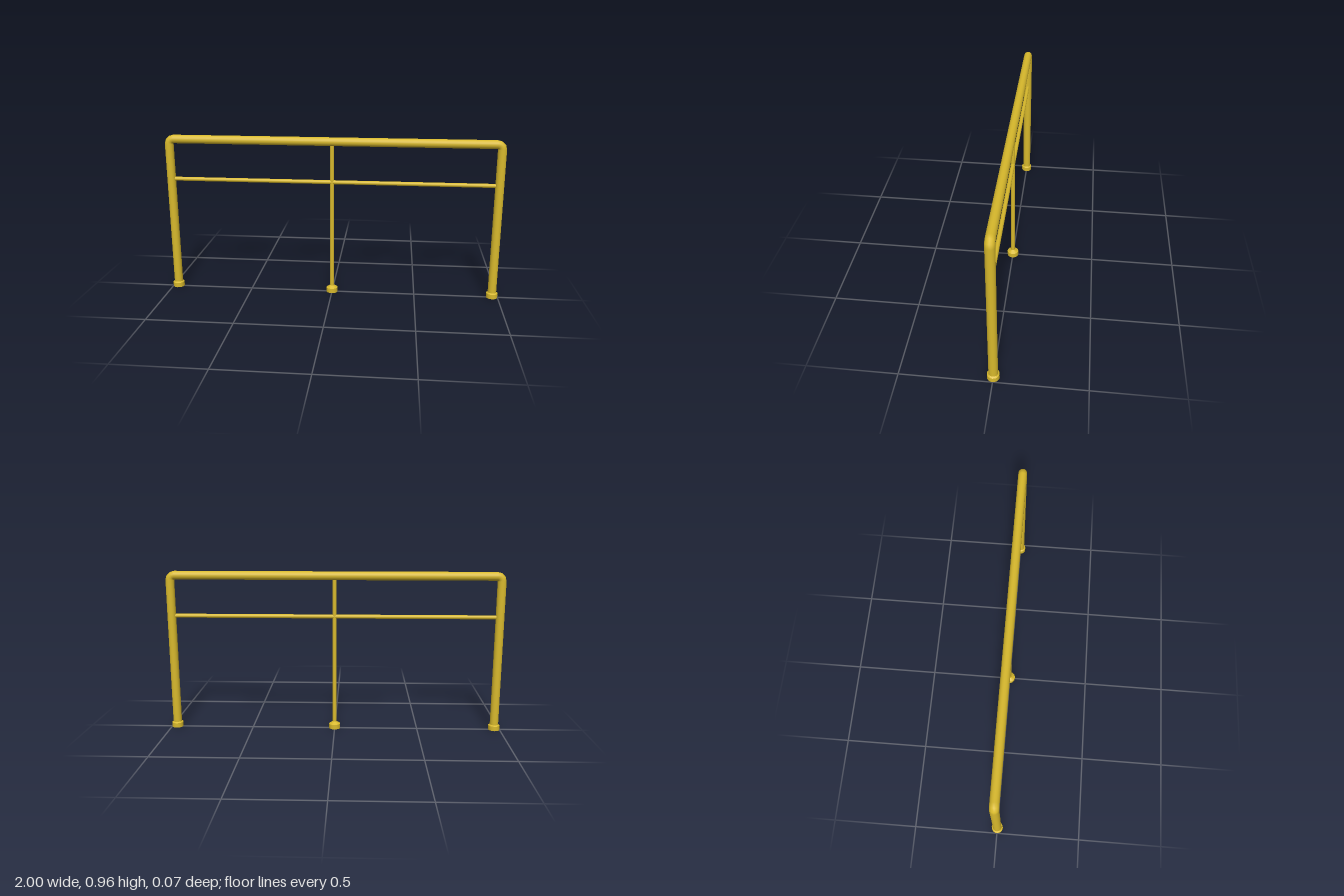
import * as THREE from 'three';
import { toCreasedNormals } from 'three/addons/utils/BufferGeometryUtils.js';

const POST_X = 0.966, RAIL_Y = 0.93, TUBE_R = 0.0255, BAR_R = 0.012, BEND_R = 0.028;
const SIDES = 16;

export function createModel() {
  const group = new THREE.Group();
  const yellow = new THREE.MeshStandardMaterial({ color: 0xd8b92c, side: THREE.DoubleSide });
  yellow.name = 'safetyYellow';

  const add = (name, geometry, x = 0, y = 0) => {
    const mesh = new THREE.Mesh(geometry, yellow);
    mesh.name = name;
    mesh.position.set(x, y, 0);
    group.add(mesh);
    return mesh;
  };

  // Open tube, upright or lying along x
  const upright = (name, r, y0, y1, x) =>
    add(name, new THREE.CylinderGeometry(r, r, y1 - y0, SIDES, 1, true), x, (y0 + y1) / 2);
  const level = (name, r, length, y) =>
    add(name, new THREE.CylinderGeometry(r, r, length, SIDES, 1, true).rotateZ(Math.PI / 2), 0, y);

  // Hollow foot collar with a shoulder tapering to its post
  const foot = (name, x, postR, top) => {
    const profile = [[0.034, 0], [0.034, 0.028], [postR, top]].map(p => new THREE.Vector2(...p));
    add(name, toCreasedNormals(new THREE.LatheGeometry(profile, SIDES), 0.6), x);
  };

  // End posts, bends and feet
  for (const [side, s] of [['left', 1], ['right', -1]]) {
    upright(side + 'Post', TUBE_R, 0.028, RAIL_Y - BEND_R, s * POST_X);
    const bend = add(side + 'Bend', new THREE.TorusGeometry(BEND_R, TUBE_R, SIDES, 3, Math.PI / 2),
      s * (POST_X - BEND_R), RAIL_Y - BEND_R);
    if (s < 0) bend.rotation.z = Math.PI / 2;
    foot(side + 'Foot', s * POST_X, TUBE_R, 0.034);
  }

  // Rails
  level('topRail', TUBE_R, 2 * (POST_X - BEND_R), RAIL_Y);
  level('middleRail', BAR_R, 2 * (POST_X - 0.02), 0.69);

  // Centre support
  upright('centrePost', BAR_R, 0.028, RAIL_Y - 0.015, 0);
  foot('centreFoot', 0, BAR_R, 0.042);

  return group;
}
